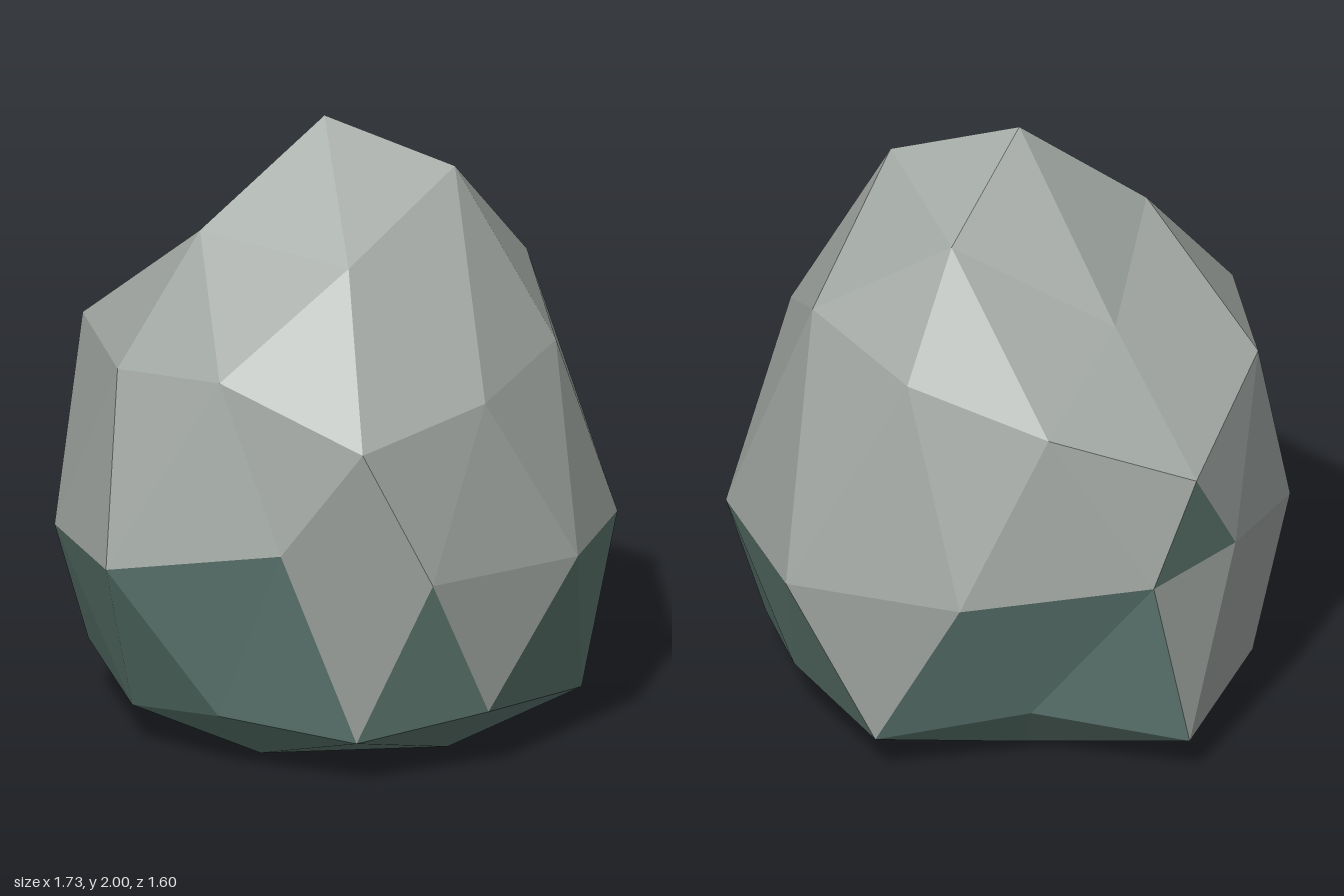
import * as THREE from 'three';

// Rings of corners from top to bottom, [x, y, z], running from +x towards +z
const APEX = [-0.04, 2, 0.01];
const CROWN = [[0.38, 1.86, 0.02], [0.11, 1.64, 0.42], [-0.4, 1.67, 0.23], [-0.415, 1.47, -0.255], [0.095, 1.74, -0.345]];
const SHOULDER = [
  [0.7, 1.29, 0], [0.555, 1.23, 0.46], [0.22, 1.15, 0.785], [-0.26, 1.32, 0.665], [-0.62, 1.28, 0.48],
  [-0.815, 1.29, 0.01], [-0.73, 1.07, -0.47], [-0.29, 1.25, -0.64], [0.18, 1.36, -0.59], [0.545, 1.46, -0.35],
];
const WAIST = [
  [0.82, 0.67, 0.28], [0.43, 0.695, 0.7], [-0.04, 0.8, 0.8], [-0.61, 0.7, 0.745], [-0.865, 0.655, 0.235],
  [-0.805, 0.74, -0.255], [-0.62, 0.73, -0.59], [-0.04, 0.685, -0.8], [0.55, 0.65, -0.69], [0.86, 0.65, -0.21],
];
const FOOT = [
  [0.785, 0.135, 0.015], [0.57, 0.205, 0.485], [0.185, 0.15, 0.7], [-0.265, 0.2, 0.66], [-0.58, 0.14, 0.44],
  [-0.795, 0.2, 0.02], [-0.71, 0.13, -0.48], [-0.215, 0.21, -0.56], [0.255, 0.135, -0.71], [0.59, 0.2, -0.41],
];
const BASE = [[0.4, 0, 0.27], [-0.17, 0, 0.43], [-0.51, 0, 0.01], [-0.15, 0, -0.38], [0.3, 0, -0.21]];
const BOTTOM = [0, 0, 0];

// Flat-shaded mesh from triangles, each turned to face away from the core
function facets(name, triangles, material) {
  const core = new THREE.Vector3(0, 0.75, 0);
  const points = [];
  for (const tri of triangles) {
    const [a, b, c] = tri.map((p) => new THREE.Vector3(...p));
    const normal = b.clone().sub(a).cross(c.clone().sub(a));
    const outward = a.clone().add(b).add(c).divideScalar(3).sub(core);
    points.push(...(normal.dot(outward) > 0 ? [a, b, c] : [a, c, b]));
  }
  const geometry = new THREE.BufferGeometry().setFromPoints(points);
  geometry.computeVertexNormals();
  const mesh = new THREE.Mesh(geometry, material);
  mesh.name = name;
  return mesh;
}

export function createModel() {
  const stone = new THREE.MeshStandardMaterial({ color: 0x9fa5a1 });
  stone.name = 'pale stone';
  const moss = new THREE.MeshStandardMaterial({ color: 0x5f7a72 });
  moss.name = 'mossy green';

  const pale = [];
  const green = [];

  // Cap and base, five sectors each
  for (let k = 0; k < 5; k++) {
    const n = (k + 1) % 5;
    const i = 2 * k, m = i + 1, e = (i + 2) % 10;
    pale.push(
      [APEX, CROWN[k], CROWN[n]],
      [CROWN[k], CROWN[n], SHOULDER[m]],
      [CROWN[k], SHOULDER[i], SHOULDER[m]],
      [CROWN[n], SHOULDER[m], SHOULDER[e]],
    );
    green.push(
      [BASE[k], FOOT[i], FOOT[m]],
      [BASE[k], FOOT[m], FOOT[e]],
      [BASE[k], BASE[n], FOOT[e]],
      [BOTTOM, BASE[k], BASE[n]],
    );
  }

  // Sides, ten sectors; the moss line is ragged
  const bareFacets = [1, 2, 5, 6, 8];
  for (let j = 0; j < 10; j++) {
    const n = (j + 1) % 10, p = (j + 9) % 10;
    pale.push([SHOULDER[j], SHOULDER[n], WAIST[j]]);
    (j === 6 ? green : pale).push([SHOULDER[j], WAIST[p], WAIST[j]]);
    (bareFacets.includes(j) ? pale : green).push([WAIST[p], WAIST[j], FOOT[j]]);
    (j === 5 ? pale : green).push([WAIST[j], FOOT[j], FOOT[n]]);
  }

  const rock = new THREE.Group();
  rock.name = 'rock';
  rock.add(facets('bareStone', pale, stone), facets('mossyFoot', green, moss));
  return rock;
}
